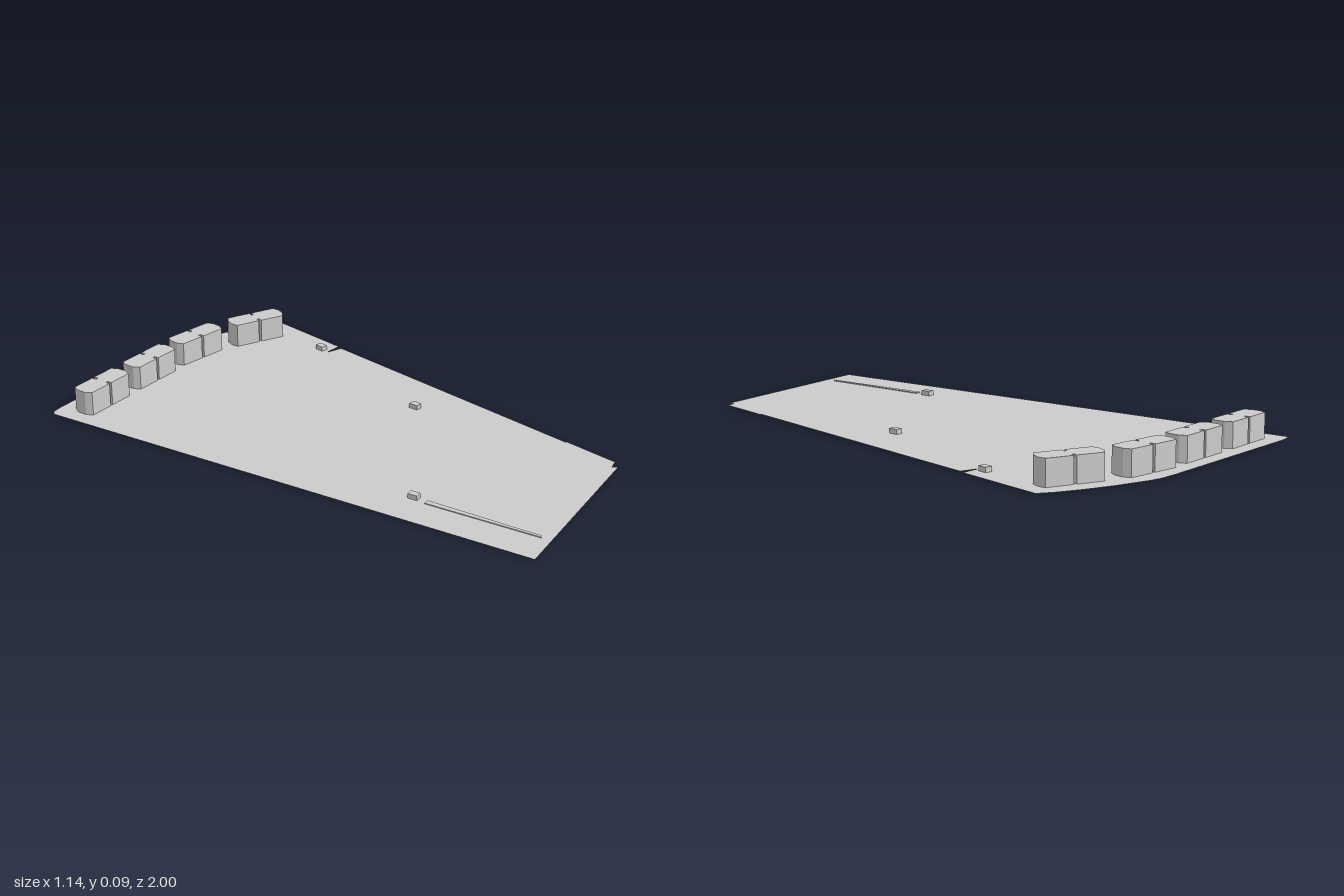
import * as THREE from 'three';

const SHEET_Y = 0.006;

// Plan shape from [x, z] points, to be laid flat
function planShape(points) {
  return new THREE.Shape(points.map(([x, z]) => new THREE.Vector2(x, -z)));
}

function prism(points, y0, y1) {
  const g = new THREE.ExtrudeGeometry(planShape(points), { depth: y1 - y0, bevelEnabled: false });
  g.rotateX(-Math.PI / 2);
  g.translate(0, y0, 0);
  return g;
}

export function createModel() {
  const group = new THREE.Group();
  const grey = new THREE.MeshStandardMaterial({ color: 0xcccccc, flatShading: true });
  const sheetGrey = new THREE.MeshStandardMaterial({ color: 0xcccccc, side: THREE.DoubleSide });
  const add = (name, geometry, material = grey) => {
    const mesh = new THREE.Mesh(geometry, material);
    mesh.name = name;
    group.add(mesh);
    return mesh;
  };

  // Thin tapering ground panel with a curved rear edge and small side notches
  const outline = [
    [-0.12, 0.995], [0.545, 0.8], [0.53, 0.785], [0.567, 0.77], [0.567, 0.56],
    [0.562, 0.56], [0.562, -0.547], [0.5, -0.558], [0.567, -0.565], [0.567, -0.9],
    [0.51, -0.926], [0.43, -0.952], [0.33, -0.977], [0.2, -0.998], [0.16, -1],
    [0.1, -0.993], [-0.52, -0.88], [-0.56, -0.868], [-0.572, -0.85],
  ];
  const panel = new THREE.ShapeGeometry(planShape(outline));
  panel.rotateX(-Math.PI / 2);
  panel.translate(0, SHEET_Y, 0);
  add('groundPanel', panel, sheetGrey);

  // Four blocks along the rear: chamfered ends, a narrow groove mid-way on each long side
  const w = 0.11, d = 0.041, c = 0.012, n = 0.005, nd = 0.018;
  const half = [
    [-w, -d + 2 * c], [-w + c, -d], [-n, -d], [-n, -d + nd],
    [n, -d + nd], [n, -d], [w - c, -d], [w, -d + 2 * c],
  ];
  const blockPlan = [...half, ...half.map(([x, z]) => [-x, -z])];
  const blockGeometry = prism(blockPlan, 0, 0.094);
  [
    [-0.387, -0.805, 0.19],
    [-0.13, -0.855, 0.18],
    [0.126, -0.893, 0.04],
    [0.395, -0.852, -0.26],
  ].forEach(([x, z, turn], i) => {
    const block = add(`rearBlock${i + 1}`, blockGeometry);
    block.position.set(x, 0, z);
    block.rotation.y = turn;
  });

  // Small boxes standing on the panel
  const boxGeometry = new THREE.BoxGeometry(0.025, 0.017, 0.035);
  [[0.503, -0.595, 0], [0.388, 0.01, 0.1], [-0.101, 0.468, 0.24]].forEach(([x, z, turn], i) => {
    const box = add(`smallBox${i + 1}`, boxGeometry);
    box.position.set(x, 0.0145, z);
    box.rotation.y = turn;
  });

  // Low tapered strip near the front corner
  add('taperedStrip', prism([[-0.106, 0.52], [-0.005, 0.925], [0.004, 0.918], [-0.085, 0.515]], 0.002, 0.009));

  return group;
}
